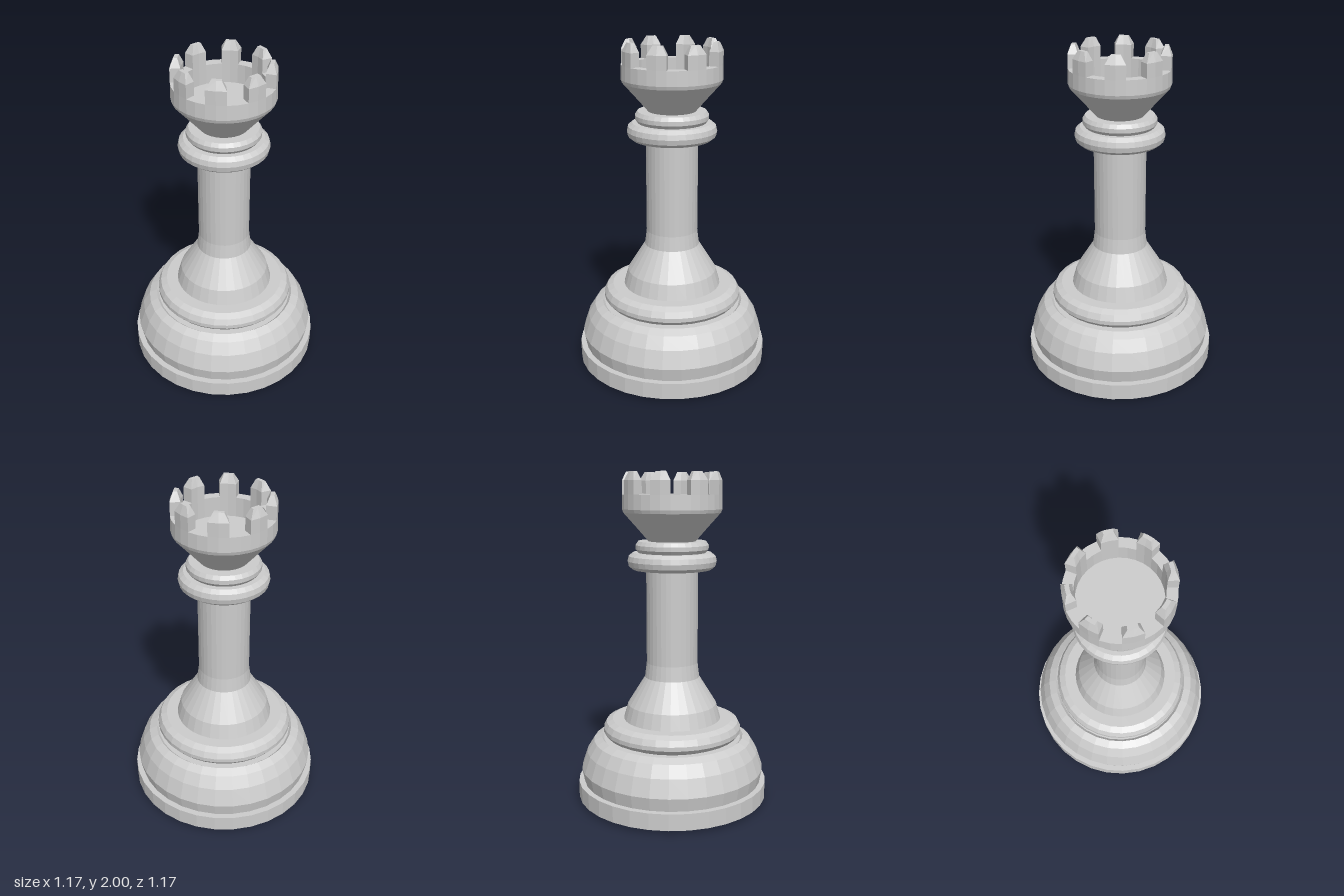
import * as THREE from 'three';

const SEGMENTS = 32;

export function createModel() {
  const model = new THREE.Group();
  model.name = 'rook';
  const stone = new THREE.MeshStandardMaterial({ color: 0xcccccc, flatShading: true });
  stone.name = 'light grey';

  // Turned part from [radius, height] pairs, listed bottom to top
  const turned = (name, profile) => {
    const points = profile.map(([r, y]) => new THREE.Vector2(r, y));
    const mesh = new THREE.Mesh(new THREE.LatheGeometry(points, SEGMENTS), stone);
    mesh.name = name;
    model.add(mesh);
  };

  turned('basePlate', [
    [0, 0], [0.455, 0], [0.485, 0.02], [0.585, 0.02], [0.585, 0.12], [0.5, 0.12],
  ]);
  turned('baseDrum', [
    [0.55, 0.12], [0.565, 0.2], [0.53, 0.305], [0.487, 0.375],
    [0.44, 0.4], [0.425, 0.385], [0.36, 0.385],
  ]);
  turned('lowerCollar', [
    [0.36, 0.385], [0.405, 0.405], [0.425, 0.43], [0.425, 0.455],
    [0.408, 0.49], [0.37, 0.508], [0.28, 0.508],
  ]);
  turned('shaft', [
    [0.3, 0.505], [0.273, 0.6], [0.167, 0.77], [0.156, 0.86], [0.156, 1.44],
  ]);
  turned('upperCollar', [
    [0.15, 1.43], [0.235, 1.43], [0.26, 1.45], [0.267, 1.48], [0.26, 1.51],
    [0.235, 1.53], [0.203, 1.53], [0.218, 1.55], [0.218, 1.575], [0.203, 1.597], [0.1, 1.597],
  ]);
  // Cup with a hollow centre
  turned('crown', [
    [0.14, 1.595], [0.21, 1.675], [0.29, 1.765], [0.297, 1.785], [0.295, 1.87],
    [0.235, 1.87], [0.235, 1.755], [0, 1.755],
  ]);

  // Battlements: curved blocks with hipped tops
  const merlonGeometry = createMerlon();
  for (let i = 0; i < 8; i++) {
    const merlon = new THREE.Mesh(merlonGeometry, stone);
    merlon.name = 'merlon';
    merlon.rotation.y = ((i + 0.5) * Math.PI) / 4;
    model.add(merlon);
  }
  return model;
}

// Lofts three sections: foot, eaves and narrow top
function createMerlon() {
  const section = (inner, outer, halfAngle, y) =>
    [[outer, -1], [outer, 0], [outer, 1], [inner, 1], [inner, 0], [inner, -1]].map(([r, s]) => {
      const a = THREE.MathUtils.degToRad(s * halfAngle);
      return [r * Math.sin(a), y, r * Math.cos(a)];
    });
  const rings = [
    section(0.235, 0.295, 11.25, 1.865),
    section(0.235, 0.295, 11.25, 1.95),
    section(0.251, 0.274, 6, 2),
  ];
  const index = [];
  for (let k = 0; k < 2; k++) {
    for (let i = 0; i < 6; i++) {
      const a = k * 6 + i;
      const b = k * 6 + ((i + 1) % 6);
      index.push(a, b, b + 6, a, b + 6, a + 6);
    }
  }
  // Top cap, fanned from the outer middle corner
  for (let i = 2; i < 6; i++) index.push(13, 12 + i, 12 + ((i + 1) % 6));

  const geometry = new THREE.BufferGeometry();
  geometry.setAttribute('position', new THREE.Float32BufferAttribute(rings.flat(2), 3));
  geometry.setIndex(index);
  const flat = geometry.toNonIndexed();
  flat.computeVertexNormals();
  return flat;
}
